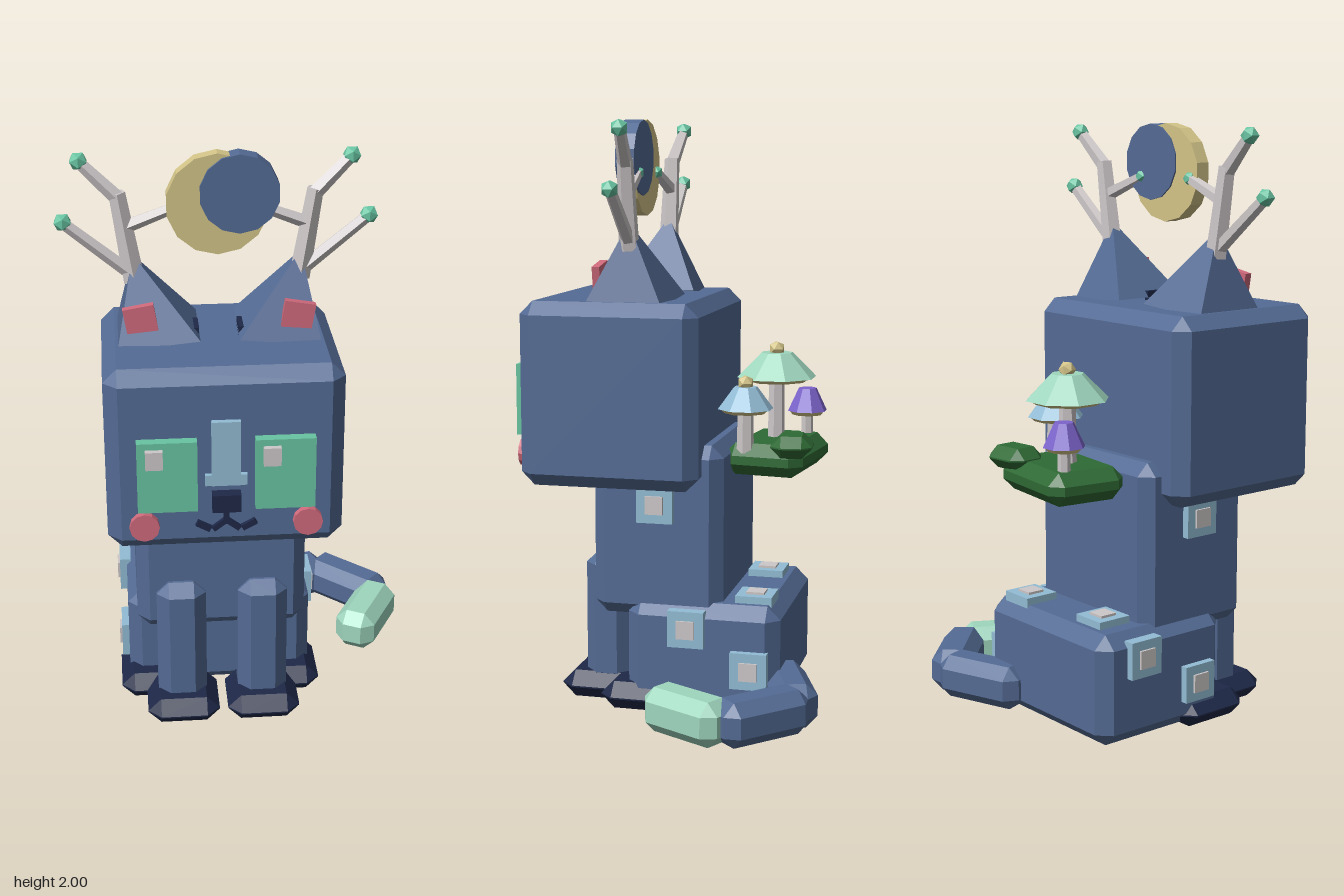
import * as THREE from 'three';
import { ConvexGeometry } from 'three/addons/geometries/ConvexGeometry.js';

const CX = -0.095; // centre line of the animal's body

const mat = (name, color) => {
  const m = new THREE.MeshStandardMaterial({ color });
  m.name = name;
  return m;
};

// faceted normals for low-poly parts
function flat(geo) {
  const g = geo.index ? geo.toNonIndexed() : geo;
  g.computeVertexNormals();
  return g;
}

// box with every edge chamfered by b
function chamferBox(w, h, d, b) {
  const pts = [];
  for (const x of [-1, 1]) for (const y of [-1, 1]) for (const z of [-1, 1])
    for (let a = 0; a < 3; a++)
      pts.push(new THREE.Vector3(
        x * (w / 2 - (a === 0 ? 0 : b)),
        y * (h / 2 - (a === 1 ? 0 : b)),
        z * (d / 2 - (a === 2 ? 0 : b))));
  return new ConvexGeometry(pts);
}

export function createModel() {
  const root = new THREE.Group();
  root.name = 'forestCat';
  const fur = mat('furBlue', 0x546b94);
  const navy = mat('navy', 0x1e2847);
  const green = mat('eyeGreen', 0x68c4a2);
  const mint = mat('mint', 0x9fd6be);
  const pink = mat('pink', 0xd06a7c);
  const sky = mat('paleBlue', 0x92bcd4);
  const bone = mat('boneGrey', 0xcdc7c8);
  const gold = mat('moonGold', 0xd3c488);
  const moss = mat('mossGreen', 0x2f6a35);
  const violet = mat('violet', 0x7c64cc);

  const add = (name, geo, material, x = 0, y = 0, z = 0, parent = root) => {
    const m = new THREE.Mesh(geo, material);
    m.name = name;
    m.position.set(x, y, z);
    parent.add(m);
    return m;
  };
  const box = (w, h, d) => new THREE.BoxGeometry(w, h, d);

  // straight rod between two points
  const rod = (name, a, b, r0, r1, material) => {
    const p = new THREE.Vector3(...a), q = new THREE.Vector3(...b);
    const dir = q.clone().sub(p);
    const m = add(name, flat(new THREE.CylinderGeometry(r1, r0, dir.length(), 5)), material);
    m.position.copy(p).add(q).multiplyScalar(0.5);
    m.quaternion.setFromUnitVectors(new THREE.Vector3(0, 1, 0), dir.normalize());
    return m;
  };

  // body
  add('head', chamferBox(0.76, 0.625, 0.615, 0.045), fur, CX, 1.0875, 0.18);
  add('chest', chamferBox(0.58, 0.595, 0.45, 0.042), fur, CX, 0.622, 0.03);
  add('haunches', chamferBox(0.644, 0.375, 0.527, 0.045), fur, CX, 0.198, -0.134);

  // nose and muzzle
  add('noseBridge', box(0.092, 0.222, 0.03), sky, CX, 1.126, 0.492);
  add('muzzle', box(0.134, 0.037, 0.024), sky, CX, 1.033, 0.492);
  add('nose', box(0.092, 0.06, 0.05), navy, CX, 0.96, 0.503);
  add('mouthStem', box(0.018, 0.06, 0.02), navy, CX, 0.905, 0.492);

  for (const s of [-1, 1]) {
    const X = (d) => CX + s * d;

    // legs and paws
    add('frontLeg', chamferBox(0.17, 0.47, 0.16, 0.042), fur, X(0.14), 0.285, 0.227);
    add('frontPaw', chamferBox(0.25, 0.095, 0.26, 0.045), navy, X(0.14), 0.0475, 0.256);
    add('hindPaw', chamferBox(0.22, 0.095, 0.28, 0.045), navy, X(0.243), 0.0475, 0.08);

    // face
    add('eye', box(0.19, 0.243, 0.05), green, X(0.187), 1.057, 0.497);
    add('cheek', flat(new THREE.CylinderGeometry(0.048, 0.048, 0.04, 12)), pink, X(0.262), 0.874, 0.49)
      .rotation.x = Math.PI / 2;
    add('mouthInner', box(0.05, 0.018, 0.02), navy, X(0.023), 0.87, 0.492).rotation.z = -s * 0.65;
    add('mouthOuter', box(0.05, 0.02, 0.02), navy, X(0.073), 0.868, 0.492).rotation.z = s * 0.5;

    // ears
    const ear = [[0.063, 1.41, -0.015], [0.063, 1.41, 0.267], [0.328, 1.385, 0.267], [0.328, 1.385, 0.0],
      [0.27, 1.66, 0.125]].map(([x, y, z]) => new THREE.Vector3(X(x), y, z));
    add('ear', new ConvexGeometry(ear), fur);
    add('innerEar', box(0.1, 0.092, 0.026), pink, X(0.252), 1.477, 0.23).rotation.z = -s * 0.17;
    add('earTuft', box(0.016, 0.04, 0.09), navy, X(0.072), 1.412, 0.16);

    // antlers with leaf buds
    const base = [X(0.265), 1.57, 0.125], fork = [X(0.313), 1.865, 0.125];
    const tips = [[X(0.43), 1.965, 0.11], [X(0.487), 1.773, 0.127], [X(0.122), 1.82, 0.135]];
    rod('antlerStem', base, fork, 0.036, 0.028, bone);
    rod('antlerTop', [X(0.308), 1.845, 0.125], tips[0], 0.026, 0.02, bone);
    rod('antlerOuter', [X(0.278), 1.6, 0.125], tips[1], 0.024, 0.02, bone);
    rod('antlerInner', [X(0.3), 1.75, 0.125], tips[2], 0.024, 0.018, bone);
    tips.forEach((t, i) =>
      add('antlerBud', new THREE.IcosahedronGeometry(i === 2 ? 0.024 : 0.031, 0), green, ...t));
  }

  // eye glints sit on the same side of both eyes
  for (const x of [-0.323, 0.048]) add('eyeGlint', box(0.055, 0.062, 0.03), bone, x, 1.126, 0.526);

  // crescent moon: gold disc partly covered by a blue one
  const disc = (r, t) => flat(new THREE.CylinderGeometry(r, r, t, 14));
  add('moon', disc(0.164, 0.05), gold, CX, 1.836, 0.158).rotation.x = Math.PI / 2;
  add('moonShade', disc(0.128, 0.066), fur, -0.026, 1.87, 0.16).rotation.x = Math.PI / 2;

  // square fur patches: [position, outward axis, sign]
  const patches = [
    [0.2, 0.72, 0.03, 'x', 1], [-0.39, 0.72, 0.03, 'x', -1],
    [0.232, 0.305, -0.085, 'x', 1], [0.232, 0.175, -0.3, 'x', 1],
    [-0.422, 0.3, -0.235, 'x', -1], [-0.422, 0.165, 0.0, 'x', -1],
    [-0.26, 0.39, -0.272, 'y', 1], [0.1, 0.39, -0.3, 'y', 1],
  ];
  for (const [x, y, z, axis, sign] of patches) {
    const g = new THREE.Group();
    g.name = 'furPatch';
    add('patchPlate', box(0.04, 0.125, 0.125), sky, 0, 0, 0, g);
    add('patchCentre', box(0.02, 0.062, 0.062), bone, 0.018, 0, 0, g);
    g.position.set(x, y, z);
    if (axis === 'y') g.rotation.z = Math.PI / 2;
    else if (sign < 0) g.rotation.y = Math.PI;
    root.add(g);
  }

  // curled tail made of three chamfered segments
  const tail = [
    ['tailBase', 0.04, -0.376, 0.355, -0.487, fur],
    ['tailMiddle', 0.315, -0.495, 0.555, -0.265, fur],
    ['tailTip', 0.553, -0.288, 0.405, -0.012, mint],
  ];
  for (const [name, x0, z0, x1, z1, m] of tail) {
    const len = Math.hypot(x1 - x0, z1 - z0);
    add(name, chamferBox(0.15, 0.15, len, 0.04), m, (x0 + x1) / 2, 0.095, (z0 + z1) / 2)
      .rotation.y = Math.atan2(x1 - x0, z1 - z0);
  }

  // mossy ledge on the back
  add('mossLedge', chamferBox(0.38, 0.11, 0.28, 0.04), moss, -0.115, 0.856, -0.325).rotation.y = -0.13;
  add('mossClump', chamferBox(0.17, 0.075, 0.14, 0.035), moss, 0.037, 0.912, -0.405).rotation.y = 0.1;

  // mushrooms: x, z, cap radius, top radius, cap bottom, cap top, stem radius, colour, knob
  const mushrooms = [
    [-0.135, -0.318, 0.14, 0.055, 1.12, 1.205, 0.03, mint, true],
    [0.03, -0.242, 0.096, 0.04, 1.03, 1.105, 0.03, sky, true],
    [-0.235, -0.41, 0.07, 0.032, 0.99, 1.07, 0.022, violet, false],
  ];
  for (const [x, z, r, rt, y0, y1, rs, m, knob] of mushrooms) {
    const g = new THREE.Group();
    g.name = 'mushroom';
    g.position.set(x, 0, z);
    add('stem', flat(new THREE.CylinderGeometry(rs * 0.9, rs, y0 - 0.88, 6)), bone, 0, (y0 + 0.88) / 2, 0, g);
    add('gills', flat(new THREE.CylinderGeometry(r * 0.92, r * 0.75, 0.014, 8)), gold, 0, y0 - 0.007, 0, g);
    add('cap', flat(new THREE.CylinderGeometry(rt, r, y1 - y0, 8)), m, 0, (y0 + y1) / 2, 0, g);
    if (knob) add('capKnob', new THREE.IcosahedronGeometry(0.029, 0), gold, 0, y1 + 0.012, 0, g);
    g.children.forEach((c) => { c.rotation.y = Math.PI / 8; });
    root.add(g);
  }

  return root;
}
